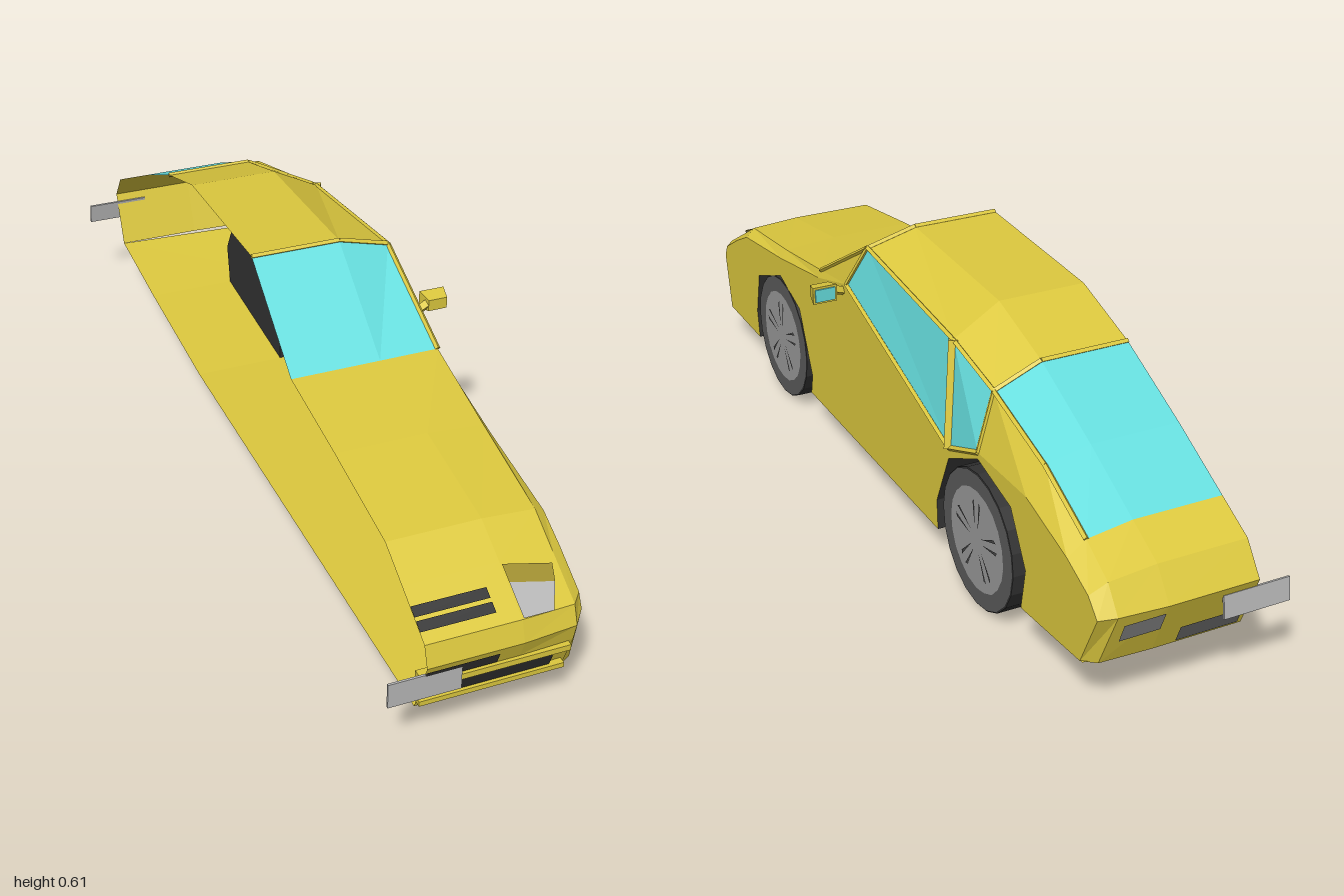
import * as THREE from 'three';

const YELLOW = 0xdcc83e, GLASS = 0x66dede, DARK = 0x333333;
const X_CUT = -0.175, X_ROOF = 0.025, X_SIDE = 0.165, X_WELL = 0.035;

// Body rows from under the nose, over the roof, to under the tail:
// [centre z, y, shoulder x, y, z, belt z, y]
const ROWS = [
  [0.95, 0.08, 0.14, 0.08, 0.945, 0.93, 0.08],
  [0.985, 0.17, 0.14, 0.17, 0.98, 0.95, 0.17],
  [1.0, 0.21, 0.14, 0.21, 0.99, 0.96, 0.22],
  [0.985, 0.255, 0.14, 0.25, 0.975, 0.945, 0.25],
  [0.88, 0.315, 0.14, 0.305, 0.88, 0.86, 0.3],
  [0.8, 0.36, 0.14, 0.352, 0.8, 0.79, 0.335],
  [0.55, 0.4, 0.15, 0.39, 0.55, 0.55, 0.37],
  [0.31, 0.433, 0.158, 0.433, 0.31, 0.31, 0.415],
  [0.08, 0.605, 0.14, 0.575, 0.08, 0.145, 0.465],
  [-0.32, 0.59, 0.135, 0.53, -0.33, -0.37, 0.305],
  [-0.5, 0.535, 0.125, 0.485, -0.49, -0.5, 0.36],
  [-0.7, 0.445, 0.125, 0.425, -0.7, -0.7, 0.365],
  [-0.86, 0.365, 0.125, 0.35, -0.86, -0.86, 0.32],
  [-0.95, 0.32, 0.13, 0.31, -0.95, -0.94, 0.285],
  [-0.998, 0.255, 0.13, 0.255, -0.99, -0.975, 0.25],
  [-0.95, 0.13, 0.14, 0.13, -0.945, -0.92, 0.127],
];
const POINTS = ROWS.map(([z, y, sx, sy, sz, bz, by]) => [
  [X_CUT, y, z], [X_ROOF, y, z], [sx, sy, sz], [X_SIDE, by, bz]]);

// Wheel arch outlines (z, y), rear to front
const ARCHES = [
  [[-0.69, 0.105], [-0.705, 0.2], [-0.64, 0.31], [-0.5, 0.345], [-0.37, 0.28], [-0.315, 0.15], [-0.32, 0.08]],
  [[0.38, 0.08], [0.37, 0.13], [0.44, 0.28], [0.56, 0.32], [0.71, 0.26], [0.735, 0.15], [0.725, 0.08]],
];

const mat = (color) => new THREE.MeshStandardMaterial({ color, flatShading: true, side: THREE.DoubleSide });

export function createModel() {
  const car = new THREE.Group();
  car.name = 'halfCar';

  const add = (name, geo, color, parent = car) => {
    const m = new THREE.Mesh(geo, mat(color));
    m.name = name;
    parent.add(m);
    return m;
  };
  // Triangles from four-corner cells
  const cells = (name, list, color) => {
    const pos = [];
    for (const [a, b, c, d] of list) pos.push(...a, ...b, ...c, ...a, ...c, ...d);
    const g = new THREE.BufferGeometry();
    g.setAttribute('position', new THREE.Float32BufferAttribute(pos, 3));
    g.computeVertexNormals();
    return add(name, g, color);
  };
  // Flat outline in (z, y) standing at a given x
  const sidePanel = (name, outline, x, color) => {
    const g = new THREE.ShapeGeometry(new THREE.Shape(outline.map(([z, y]) => new THREE.Vector2(-z, y))));
    g.rotateY(Math.PI / 2).translate(x, 0, 0);
    return add(name, g, color);
  };
  // Thin square bar between two points
  const bar = (name, a, b, r, color) => {
    const p = new THREE.Vector3(...a), q = new THREE.Vector3(...b);
    const m = add(name, new THREE.CylinderGeometry(r, r, p.distanceTo(q), 4), color);
    m.position.copy(p).add(q).multiplyScalar(0.5);
    m.quaternion.setFromUnitVectors(new THREE.Vector3(0, 1, 0), q.sub(p).normalize());
    return m;
  };
  const box = (name, [x0, x1], [y0, y1], [z0, z1], color) => {
    const m = add(name, new THREE.BoxGeometry(x1 - x0, y1 - y0, z1 - z0), color);
    m.position.set((x0 + x1) / 2, (y0 + y1) / 2, (z0 + z1) / 2);
    return m;
  };

  // Upper body skin and glass, sorted by row and strip
  const skin = [], glass = { windshield: [], sideWindow: [], quarterWindow: [], rearWindow: [] };
  for (let i = 0; i < POINTS.length - 1; i++) {
    for (let j = 0; j < 3; j++) {
      const [p, q] = [POINTS[i], POINTS[i + 1]];
      let target = skin;
      if (i === 7 && j < 2) target = glass.windshield;
      if ((i === 10 || i === 11) && j < 2) target = glass.rearWindow;
      if (i === 8 && j === 2) target = glass.sideWindow;
      if (i === 9 && j === 2) target = glass.quarterWindow;
      target.push([p[j], p[j + 1], q[j + 1], q[j]]);
    }
  }
  cells('bodyShell', skin, YELLOW);
  for (const name in glass) cells(name, glass[name], GLASS);

  // Window frames along the glass edges
  const frames = [
    [8, 0, 8, 1], [8, 1, 8, 2], [7, 2, 8, 2], [8, 2, 8, 3], [8, 2, 9, 2], [8, 3, 9, 3],
    [9, 2, 10, 2], [9, 3, 10, 3], [10, 2, 10, 3], [10, 0, 10, 1], [10, 1, 10, 2], [10, 2, 11, 2], [11, 2, 12, 2],
  ];
  for (const [i, j, k, l] of frames) bar('windowFrame', POINTS[i][j], POINTS[k][l], 0.006, YELLOW);
  bar('doorPillar', POINTS[9][2], POINTS[9][3], 0.014, YELLOW);

  // Flat lower side with the arches cut from its lower edge
  sidePanel('lowerSide', [
    ...POINTS.map((p) => [p[3][2], p[3][1]]), ...ARCHES[0], ...ARCHES[1],
  ], X_SIDE, YELLOW);

  // Floor, narrowed where the wheel wells are
  const floor = [[-0.95, 0.13], [-0.69, 0.105], [-0.32, 0.08], [0.38, 0.08], [0.725, 0.08], [0.95, 0.08]];
  cells('floor', floor.slice(1).map(([z1, y1], i) => {
    const [z0, y0] = floor[i], x = i % 2 ? X_WELL : X_SIDE;
    const trim = (z) => (x === X_SIDE && Math.abs(z) > 0.94 ? z - Math.sign(z) * 0.02 : z);
    return [[X_CUT, y0, z0], [x, y0, trim(z0)], [x, y1, trim(z1)], [X_CUT, y1, z1]];
  }), YELLOW);

  // Dark wheel wells
  for (const arch of ARCHES) {
    cells('wheelWell', arch.slice(1).map(([z, y], i) => {
      const [pz, py] = arch[i];
      return [[X_SIDE, py, pz], [X_SIDE, y, z], [X_WELL, y, z], [X_WELL, py, pz]];
    }), DARK);
    sidePanel('wheelWellInner', arch, X_WELL, DARK);
  }

  // Wheels with five paired spoke slots
  for (const z of [0.56, -0.5]) {
    const wheel = new THREE.Group();
    wheel.name = 'wheel';
    wheel.position.set(0.1025, 0.155, z);
    add('tyre', new THREE.CylinderGeometry(0.155, 0.155, 0.123, 20).rotateZ(Math.PI / 2), DARK, wheel);
    add('tyreWall', new THREE.RingGeometry(0.115, 0.153, 20).rotateY(Math.PI / 2), 0x5a5a5a, wheel).position.x = 0.063;
    add('rim', new THREE.CircleGeometry(0.116, 20).rotateY(Math.PI / 2), 0x9a9a9a, wheel).position.x = 0.063;
    for (let i = 0; i < 5; i++) {
      for (const side of [-1, 1]) {
        const slot = new THREE.Shape([[side * 0.006, 0.025], [side * 0.01, 0.092], [side * 0.017, 0.085]]
          .map(([a, b]) => new THREE.Vector2(a, b)));
        const g = new THREE.ShapeGeometry(slot).rotateY(Math.PI / 2).rotateX(i * Math.PI * 0.4);
        add('spokeSlot', g, 0x444444, wheel).position.x = 0.0645;
      }
    }
    car.add(wheel);
  }

  // Panels laid on the nose or tail slope, following its height-to-depth line
  const follow = (rows) => (y) => {
    for (let i = 0; i < rows.length - 1; i++) {
      const [z0, y0] = rows[i], [z1, y1] = rows[i + 1];
      if ((y - y0) * (y - y1) <= 0) return z0 + (z1 - z0) * (y - y0) / (y1 - y0);
    }
    return rows[0][0];
  };
  const noseZ = follow(ROWS.slice(0, 6)), tailZ = follow(ROWS.slice(12));
  const laid = (name, corners, color, zAt, lift) =>
    cells(name, [corners.map(([x, y]) => [x, y, zAt(y) + lift])], color);
  const strip = (x0, x1, y0, y1) => [[x0, y0], [x1, y0], [x1, y1], [x0, y1]];

  laid('headlight', [[0.027, 0.258], [0.09, 0.258], [0.115, 0.285], [0.027, 0.295]], 0xb4b4b4, noseZ, 0.006);
  laid('headlightLid', [[0.027, 0.295], [0.115, 0.285], [0.124, 0.303], [0.027, 0.314]], 0x9c8c28, noseZ, 0.006);
  for (const y of [0.27, 0.285]) laid('grilleSlat', strip(X_CUT, -0.02, y, y + 0.011), DARK, noseZ, 0.006);
  laid('upperIntake', strip(X_CUT, -0.025, 0.172, 0.2), DARK, noseZ, 0.003);
  laid('lowerIntake', strip(X_CUT, 0.1, 0.11, 0.152), DARK, noseZ, 0.005);
  box('bumperLip', [X_CUT, 0.13], [0.155, 0.168], [0.95, 0.992], YELLOW);
  box('chinLip', [X_CUT, 0.13], [0.097, 0.108], [0.93, 0.972], YELLOW);
  laid('tailLight', strip(0.03, 0.12, 0.195, 0.24), 0x8c8c8c, tailZ, -0.005);
  laid('rearIntake', strip(-0.16, -0.02, 0.14, 0.18), 0x6a6a6a, tailZ, -0.005);

  // Blank number plates reaching past the cut side
  box('frontPlate', [-0.25, -0.1], [0.137, 0.192], [0.99, 0.995], 0xb8b8b8);
  const rearPlate = box('rearPlate', [-0.25, -0.1], [0.187, 0.237], [-0.996, -0.991], 0xb8b8b8);
  rearPlate.rotation.x = 0.15;

  // Door mirror: arm, tapered housing and glass
  bar('mirrorArm', [0.155, 0.437, 0.17], [0.205, 0.456, 0.16], 0.011, YELLOW);
  const housing = new THREE.BoxGeometry(0.058, 0.04, 0.035);
  const hp = housing.attributes.position;
  for (let i = 0; i < hp.count; i++) if (hp.getZ(i) > 0) hp.setXY(i, hp.getX(i) * 0.75, hp.getY(i) * 0.65);
  add('mirrorHousing', housing, YELLOW).position.set(0.221, 0.455, 0.155);
  box('mirrorGlass', [0.197, 0.245], [0.44, 0.47], [0.134, 0.138], GLASS);

  return car;
}
